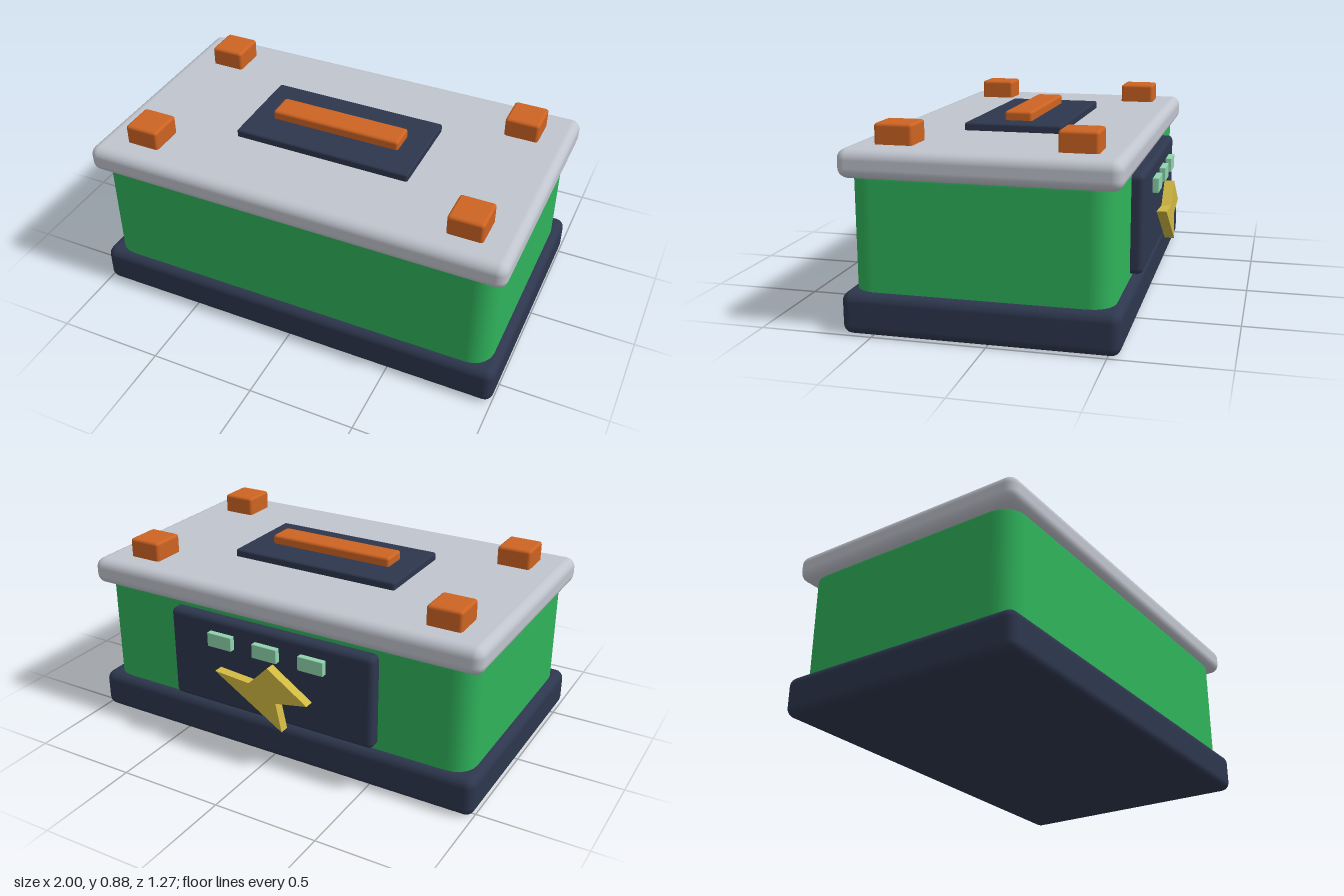
import * as THREE from 'three';
import { RoundedBoxGeometry } from 'three/addons/geometries/RoundedBoxGeometry.js';

const material = (name, color) => {
  const m = new THREE.MeshStandardMaterial({ color });
  m.name = name;
  return m;
};

export function createModel() {
  const green = material('caseGreen', 0x2fb35b);
  const navy = material('darkNavy', 0x2d364d);
  const grey = material('lidGrey', 0xc0c4cd);
  const orange = material('orange', 0xcd6322);
  const gold = material('gold', 0xd0b742);
  const mint = material('mintLight', 0x8fd4ae);

  const model = new THREE.Group();
  model.name = 'batteryCrate';

  // Rounded block given by its [min, max] extent on each axis
  const block = (name, mat, [x0, x1], [y0, y1], [z0, z1], radius, segments = 3) => {
    const geo = new RoundedBoxGeometry(x1 - x0, y1 - y0, z1 - z0, segments, radius);
    const mesh = new THREE.Mesh(geo, mat);
    mesh.name = name;
    mesh.position.set((x0 + x1) / 2, (y0 + y1) / 2, (z0 + z1) / 2);
    model.add(mesh);
  };

  // Base, case and lid
  const depth = [-0.553, 0.635];
  block('base', navy, [-1, 1], [0, 0.185], depth, 0.042);
  block('case', green, [-0.96, 0.96], [0.01, 0.76], [-0.515, 0.6], 0.1);
  block('lid', grey, [-1, 1], [0.67, 0.795], depth, 0.045);

  // Handle plate and grip on the lid
  block('handlePlate', navy, [-0.425, 0.425], [0.785, 0.83], [-0.182, 0.262], 0.01, 2);
  block('handleGrip', orange, [-0.315, 0.315], [0.815, 0.872], [-0.023, 0.105], 0.013, 2);

  // Four corner terminals
  for (const x of [-0.778, 0.778]) {
    for (const z of [-0.35, 0.432]) {
      block('terminal', orange, [x - 0.081, x + 0.081], [0.78, 0.885], [z - 0.084, z + 0.084], 0.014, 2);
    }
  }

  // Back panel with three indicator lights
  block('backPanel', navy, [-0.53, 0.53], [0.205, 0.65], [-0.57, -0.49], 0.026);
  for (const x of [-0.241, -0.003, 0.237]) {
    block('indicatorLight', mint, [x - 0.064, x + 0.064], [0.523, 0.591], [-0.604, -0.575], 0.003, 1);
  }

  // Raised lightning bolt in front of the back panel
  const outline = [[-0.04, 0.51], [0.06, 0.41], [0.242, 0.425], [-0.11, 0.207], [-0.08, 0.345], [-0.242, 0.375]];
  const shape = new THREE.Shape(outline.map(([x, y]) => new THREE.Vector2(x, y)));
  const bolt = new THREE.Mesh(new THREE.ExtrudeGeometry(shape, { depth: 0.046, bevelEnabled: false }), gold);
  bolt.name = 'lightningBolt';
  bolt.position.z = -0.635;
  model.add(bolt);

  return model;
}
